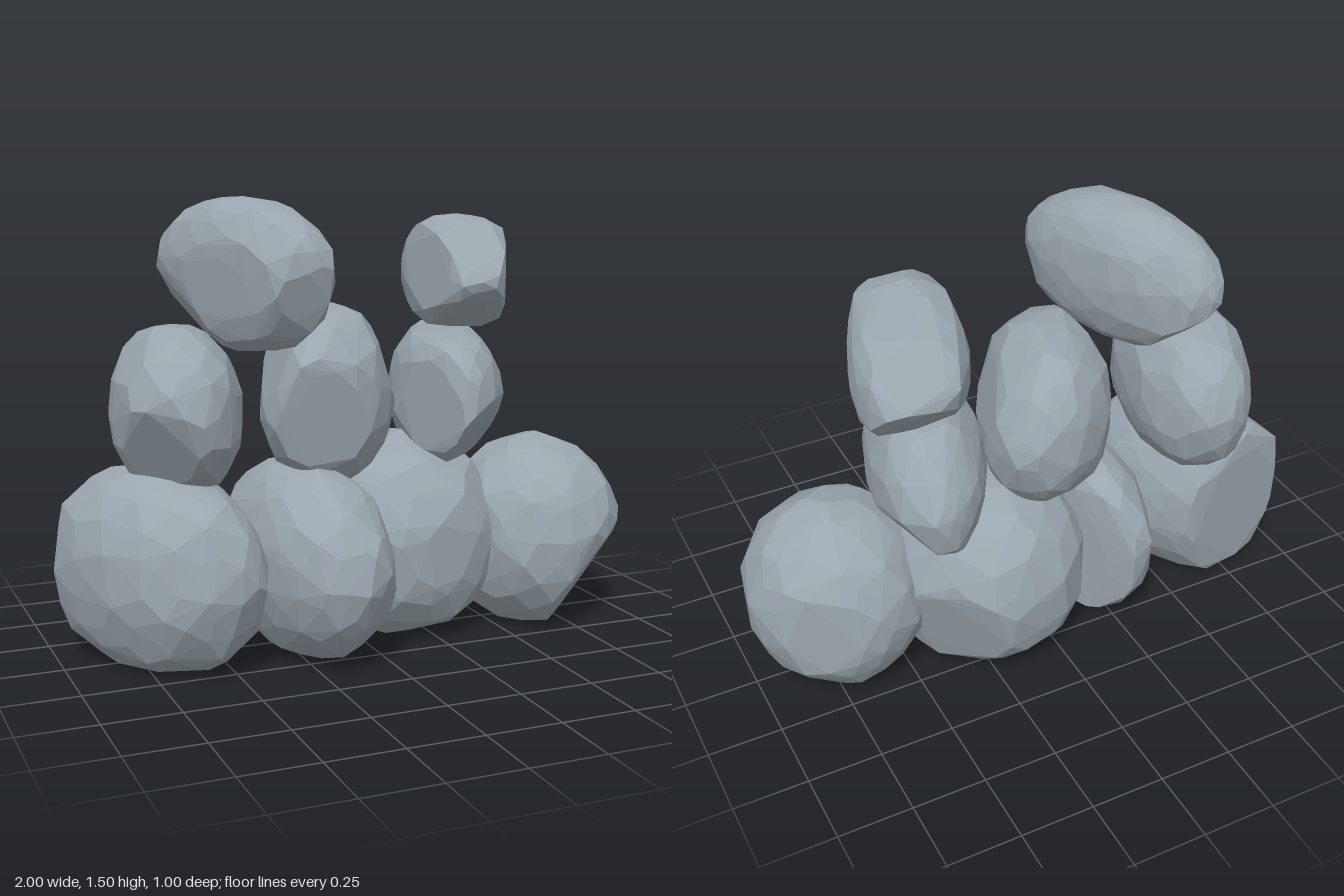
import * as THREE from 'three';
import { ConvexGeometry } from 'three/addons/geometries/ConvexGeometry.js';

// Small seeded random generator
function seeded(seed) {
  let s = seed * 7919 + 17;
  return () => (s = (s * 16807) % 2147483647) / 2147483647;
}

// Faceted boulder filling the box min..max.
// lean: how far the long z axis swings towards x; cuts: flat faces [nx, ny, nz, distance]
// in the boulder's unit space, where each axis runs from -1 to 1.
function boulderGeometry({ min, max, lean = 0, cuts = [], power = 2.15 }, seed) {
  const random = seeded(seed);
  const planes = cuts.map(([x, y, z, d]) => ({ n: new THREE.Vector3(x, y, z).normalize(), d }));
  const points = [];
  const count = 170;
  for (let i = 0; i < count; i++) {
    // Evenly spread directions with jitter
    const y = 1 - (2 * (i + 0.5)) / count;
    const a = i * 2.39996;
    const r = Math.sqrt(1 - y * y);
    const p = new THREE.Vector3(Math.cos(a) * r, y, Math.sin(a) * r);
    p.add(new THREE.Vector3(random() - 0.5, random() - 0.5, random() - 0.5).multiplyScalar(0.16)).normalize();
    // Slightly boxy roundness with an uneven surface
    const sum = Math.abs(p.x) ** power + Math.abs(p.y) ** power + Math.abs(p.z) ** power;
    p.multiplyScalar(sum ** (-1 / power) * (0.96 + 0.05 * random()));
    p.x = p.x * Math.sqrt(1 - lean * lean) + p.z * lean;
    // Chip off the flat faces
    for (const { n, d } of planes) {
      const h = n.dot(p);
      if (h > d) p.multiplyScalar(d / h);
    }
    points.push(p);
  }
  // Fit to the box
  const box = new THREE.Box3().setFromPoints(points);
  const size = box.getSize(new THREE.Vector3());
  const lo = new THREE.Vector3(...min);
  const span = new THREE.Vector3(...max).sub(lo);
  for (const p of points) p.sub(box.min).divide(size).multiply(span).add(lo);
  return new ConvexGeometry(points);
}

const ground = [0, -1, 0, 0.88];

const boulders = {
  // Bottom row
  baseBoulderRight: {
    min: [-1, 0, -0.25], max: [-0.38, 0.65, 0.37], lean: 0.4,
    cuts: [ground, [-0.15, -0.05, -1, 0.6]],
  },
  baseBoulderFront: {
    min: [-0.43, 0, -0.39], max: [0.03, 0.64, 0.5], lean: 0.12,
    cuts: [[0, -1, 0, 0.94], [0.75, 0, -0.65, 0.5], [-0.9, 0, -0.3, 0.93]],
  },
  baseBoulderBack: {
    min: [-0.16, 0, -0.45], max: [0.54, 0.69, 0.28],
    cuts: [ground, [0.65, -0.3, -0.7, 0.85], [0.2, 0, 1, 0.92]],
  },
  baseBoulderLeft: {
    min: [0.37, 0, -0.31], max: [1, 0.66, 0.34], power: 2,
    cuts: [ground, [0.6, -0.55, 0.55, 0.74], [0.5, 0, -0.85, 0.87], [-0.9, 0, 0.3, 0.9]],
  },
  // Middle row
  middleBoulderRight: {
    min: [-0.82, 0.58, -0.42], max: [-0.38, 1.09, 0.31], lean: -0.2,
    cuts: [[-0.5, -0.5, 0.7, 0.84], [0, -1, 0, 0.8], [-0.7, 0.7, 0, 0.95]],
  },
  middleBoulderCentre: {
    min: [-0.34, 0.54, -0.36], max: [0.19, 1.14, 0.25], lean: -0.36,
    cuts: [[0.85, 0.3, 0.35, 0.75], [-0.15, -0.2, 1, 0.84], [-0.9, 0.4, -0.1, 0.84], [0.6, 0.75, 0, 0.9], [-0.3, -1, 0, 0.88]],
  },
  middleBoulderLeft: {
    min: [0.19, 0.57, -0.5], max: [0.61, 1.04, 0.28], lean: -0.42, power: 2,
    cuts: [[0.4, -0.5, 0.75, 0.68], [-0.9, 0, 0.5, 0.88], [0, 1, 0.1, 0.85], [0, -1, -0.1, 0.88], [0.7, -0.6, -0.3, 0.88]],
  },
  // Top row
  topBoulderRight: {
    min: [-0.6, 1.0, -0.36], max: [-0.17, 1.5, 0.37], lean: 0.5, power: 2.3,
    cuts: [[-0.8, -0.1, 0.6, 0.62], [0, -0.25, 1, 0.9], [-0.3, -0.7, -0.6, 0.85], [-0.8, -0.5, 0, 0.88]],
  },
  topBoulderLeft: {
    min: [0.24, 1.04, -0.47], max: [0.68, 1.43, 0.28], lean: -0.5, power: 2.5,
    cuts: [
      [0.75, 0, 0.65, 0.62], [-1, 0.15, 0, 0.75], [0.15, 1, -0.2, 0.9], [-0.1, -1, 0, 0.9],
      [0, 0.5, 0.7, 0.83], [0, -0.4, -0.7, 0.82], [0, 0.5, -0.75, 0.84], [0, -0.6, 0.7, 0.9],
    ],
  },
};

export function createModel() {
  const group = new THREE.Group();
  group.name = 'boulderPile';
  const stone = new THREE.MeshStandardMaterial({ color: 0x9aa5ad, flatShading: true });
  Object.entries(boulders).forEach(([name, spec], i) => {
    const mesh = new THREE.Mesh(boulderGeometry(spec, i + 1), stone);
    mesh.name = name;
    group.add(mesh);
  });
  return group;
}
